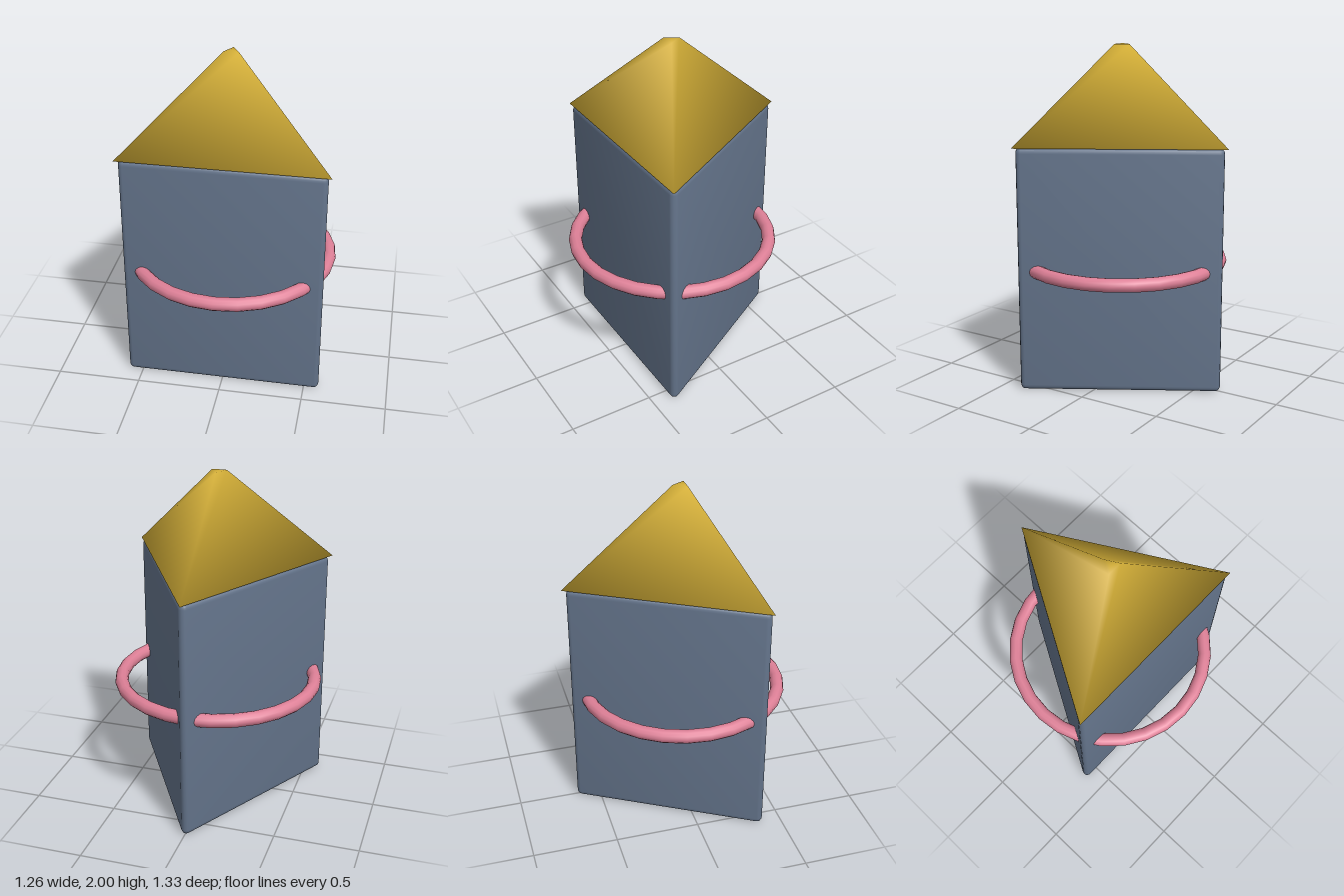
import * as THREE from 'three';
import { toCreasedNormals } from 'three/addons/utils/BufferGeometryUtils.js';

const RADIUS = 0.704; // corner distance of the triangular plan
const EAVE = 1.44;
const HEIGHT = 2;

function material(name, color) {
  const m = new THREE.MeshStandardMaterial({ color });
  m.name = name;
  return m;
}

// Triangle with rounded corners, one corner pointing to +y
function roundedTriangle(circumradius, r) {
  const points = [];
  for (let k = 0; k < 3; k++) {
    const dir = Math.PI / 2 + (k * Math.PI * 2) / 3;
    const d = circumradius - 2 * r;
    for (let i = 0; i <= 4; i++) {
      const a = dir + (i / 4 - 0.5) * (Math.PI * 2 / 3);
      points.push(new THREE.Vector2(
        d * Math.cos(dir) + r * Math.cos(a),
        d * Math.sin(dir) + r * Math.sin(a)));
    }
  }
  return new THREE.Shape(points);
}

// Closed three-sided frustum, shaded smoothly across all its edges
function smoothPyramid(topRadius, bottomRadius, height) {
  const geometry = new THREE.CylinderGeometry(topRadius, bottomRadius, height, 3, 1, false, Math.PI);
  const { position, normal } = geometry.attributes;
  const n = new THREE.Vector3();
  for (let i = 0; i < position.count; i++) {
    const top = position.getY(i) > 0;
    n.set(position.getX(i), 0, position.getZ(i)).normalize();
    n.multiplyScalar(top ? 0.51 : 0.97).setY(top ? 0.86 : -0.246).normalize();
    normal.setXYZ(i, n.x, n.y, n.z);
  }
  return geometry;
}

export function createModel() {
  const slate = material('slate', 0x64748b);
  const gold = material('gold', 0xd4af37);
  const pink = material('pink', 0xde8097);

  const model = new THREE.Group();
  model.name = 'triangularTower';
  const add = (name, geometry, mat, y) => {
    const mesh = new THREE.Mesh(geometry, mat);
    mesh.name = name;
    mesh.position.set(0, y, 0.0375);
    model.add(mesh);
  };

  // Body: triangular prism with softened edges
  const bevel = 0.02;
  const body = new THREE.ExtrudeGeometry(roundedTriangle(RADIUS - 2 * bevel, 0.01), {
    depth: EAVE - 0.06, bevelEnabled: true, bevelSize: bevel,
    bevelThickness: 0.03, bevelSegments: 4, steps: 1,
  });
  body.rotateX(-Math.PI / 2);
  add('body', toCreasedNormals(body, 0.8), slate, 0.03);

  // Roof: solid pyramid with a small blunt tip
  add('roof', smoothPyramid(0.05, RADIUS, HEIGHT - EAVE), gold, (HEIGHT + EAVE) / 2);

  // Ring: hoop passing through the three walls
  const ring = new THREE.TorusGeometry(0.589, 0.04, 12, 28);
  ring.rotateX(Math.PI / 2);
  add('ring', ring, pink, 0.72);

  return model;
}
